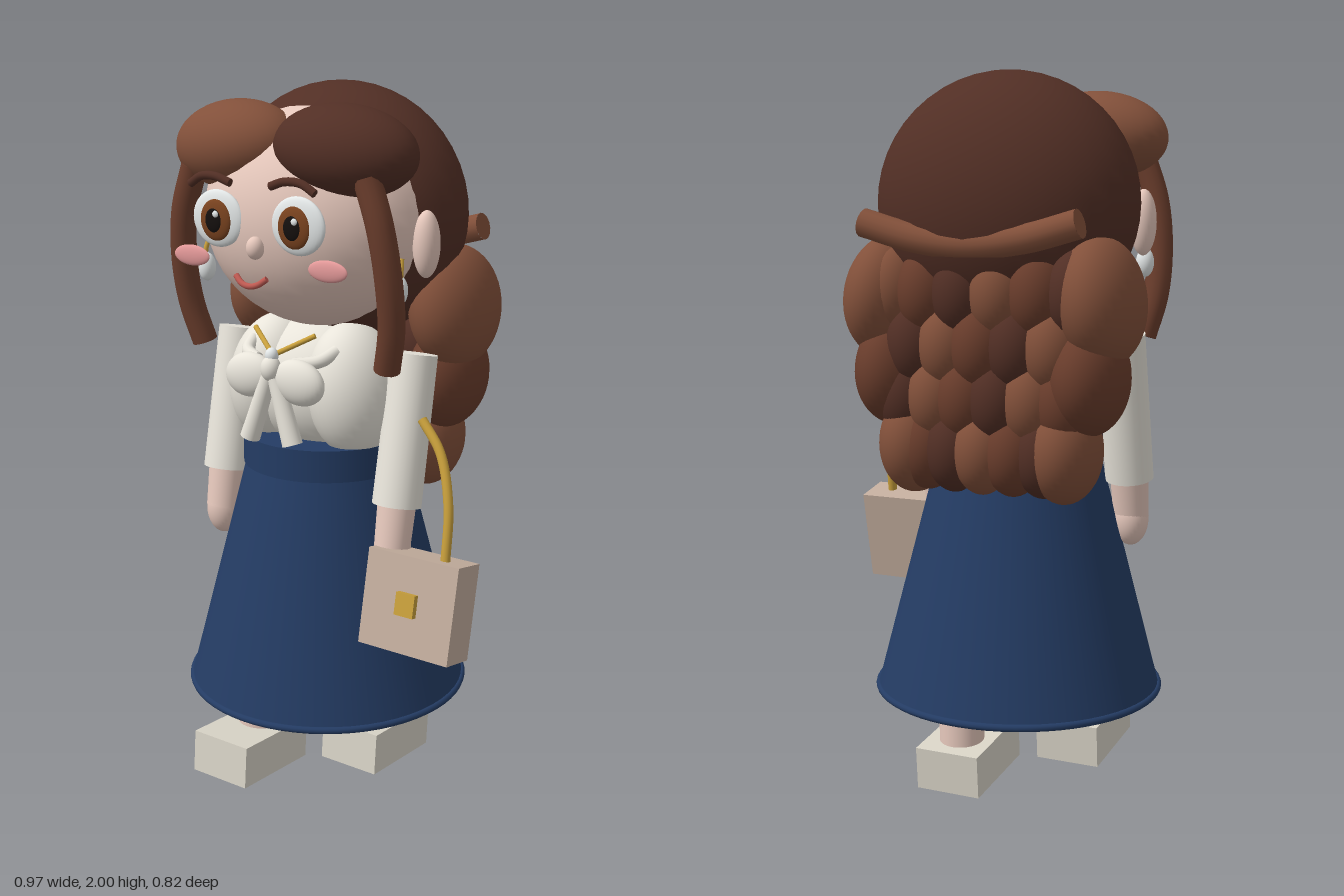
import * as THREE from 'three';

const mat = (c) => new THREE.MeshStandardMaterial({ color: c });
const M = {
  skin: mat(0xe6c8bc), dark: mat(0x522f25), light: mat(0x82503a), mid: mat(0x6a3d2c),
  cream: mat(0xe8e4da), navy: mat(0x243c64), gold: mat(0xc9a03c), bag: mat(0xc4ae9e),
  shoe: mat(0xdad5c8), white: mat(0xe4e8e8), iris: mat(0x7a431f), pupil: mat(0x15100e),
  pink: mat(0xe59a9a), lip: mat(0xbf5a52),
};

export function createModel() {
  const root = new THREE.Group();
  root.name = 'doll';
  // The figure stands a little to its right, so the bag balances the width
  const body = new THREE.Group();
  body.name = 'figure';
  body.position.x = -0.067;
  root.add(body);

  const add = (name, geo, m, pos = [0, 0, 0], rot = [0, 0, 0]) => {
    const mesh = new THREE.Mesh(geo, m);
    mesh.name = name;
    mesh.position.set(...pos);
    mesh.rotation.set(...rot);
    body.add(mesh);
    return mesh;
  };
  const ball = (name, m, pos, r, rot) =>
    add(name, new THREE.SphereGeometry(1, 32, 24).scale(...r), m, pos, rot);
  // Round bar between two points, with its own radius at each end
  const rod = (name, m, a, b, ra, rb = ra) => {
    const p = new THREE.Vector3(...a), q = new THREE.Vector3(...b);
    const d = q.clone().sub(p);
    const mesh = add(name, new THREE.CylinderGeometry(rb, ra, d.length(), 28), m);
    mesh.position.copy(p).add(q).multiplyScalar(0.5);
    mesh.quaternion.setFromUnitVectors(new THREE.Vector3(0, 1, 0), d.normalize());
    return mesh;
  };
  // Bent tube with closed ends
  const tube = (name, m, pts, r) => {
    const curve = new THREE.CatmullRomCurve3(pts.map((p) => new THREE.Vector3(...p)));
    add(name, new THREE.TubeGeometry(curve, 28, r, 14), m);
    for (const t of [0, 1]) {
      const cap = add(name + 'End', new THREE.CircleGeometry(r, 14), m);
      cap.position.copy(curve.getPoint(t));
      const out = curve.getTangent(t).multiplyScalar(t ? 1 : -1);
      cap.quaternion.setFromUnitVectors(new THREE.Vector3(0, 0, 1), out);
    }
  };

  // Head and back hair
  ball('head', M.skin, [0, 1.648, 0.03], [0.33, 0.298, 0.28]);
  ball('backHair', M.dark, [0, 1.65, -0.08], [0.365, 0.35, 0.295]);
  ball('nose', M.skin, [0, 1.595, 0.312], [0.024, 0.03, 0.024]);
  tube('mouth', M.lip, [[-0.05, 1.522, 0.33], [-0.025, 1.505, 0.338], [0, 1.5, 0.34],
    [0.025, 1.505, 0.338], [0.05, 1.522, 0.33]], 0.008);
  rod('neck', M.skin, [0, 1.28, 0], [0, 1.42, 0], 0.09);

  for (const s of [-1, 1]) {
    // Face
    ball('eyeWhite', M.white, [s * 0.13, 1.66, 0.3], [0.083, 0.075, 0.02]);
    ball('iris', M.iris, [s * 0.127, 1.657, 0.314], [0.05, 0.054, 0.014]);
    ball('pupil', M.pupil, [s * 0.127, 1.657, 0.323], [0.027, 0.032, 0.01]);
    ball('eyeHighlight', M.white, [s * 0.127 + 0.013, 1.675, 0.332], [0.009, 0.009, 0.005]);
    tube('eyebrow', M.dark, [[s * 0.2, 1.748, 0.325], [s * 0.16, 1.77, 0.328],
      [s * 0.11, 1.772, 0.33], [s * 0.065, 1.758, 0.328]], 0.011);
    ball('cheek', M.pink, [s * 0.222, 1.555, 0.303], [0.06, 0.028, 0.01]);
    // Ears and earrings
    ball('ear', M.skin, [s * 0.345, 1.6, 0.035], [0.035, 0.088, 0.04]);
    tube('earringHook', M.gold, [[s * 0.32, 1.57, 0.115], [s * 0.325, 1.54, 0.125],
      [s * 0.325, 1.51, 0.128]], 0.007);
    ball('earringPearl', M.white, [s * 0.32, 1.49, 0.128], [0.025, 0.04, 0.025]);
    // Fringe and hanging strands
    ball('fringe', s < 0 ? M.light : M.dark, [s * 0.176, 1.838, 0.158],
      [0.198, 0.118, 0.135], [0.1, s * 0.14, -s * 0.1]);
    tube('sideStrand', M.mid, [[s * 0.28, 1.78, 0.215], [s * 0.32, 1.66, 0.215],
      [s * 0.338, 1.53, 0.203], [s * 0.335, 1.4, 0.182], [s * 0.308, 1.285, 0.16]], 0.036);
    // Large curls at the sides
    ball('sideCurl', M.light, [s * 0.31, 1.4, -0.178], [0.108, 0.17, 0.175], [0, 0, s * 0.12]);
    ball('sideCurl', M.mid, [s * 0.285, 1.2, -0.192], [0.1, 0.15, 0.152]);
    ball('sideCurl', M.light, [s * 0.22, 1.005, -0.197], [0.095, 0.14, 0.133]);
  }

  // Staggered curls down the back
  const browns = [M.dark, M.light, M.mid];
  for (let row = 0; row < 4; row++) {
    const count = row % 2 ? 5 : 6;
    const spread = 0.53 - row * 0.035;
    for (let i = 0; i < count; i++) {
      const u = (i - (count - 1) / 2) / 5;
      ball('backCurl', browns[(i * 2 + row) % 3],
        [u * spread, 1.42 - row * 0.14, -0.25 + Math.abs(u) * 0.04 + row * 0.005],
        [0.082, 0.12, 0.1]);
    }
  }
  tube('hairRoll', M.light, [[-0.305, 1.6, -0.33], [-0.15, 1.56, -0.33], [0, 1.545, -0.33],
    [0.15, 1.56, -0.33], [0.305, 1.6, -0.33]], 0.038);

  // Blouse
  ball('blouse', M.cream, [0, 1.18, 0], [0.235, 0.2, 0.195]);
  for (const s of [-1, 1]) {
    ball('blousePanel', M.cream, [s * 0.133, 1.185, 0.055], [0.125, 0.188, 0.15], [0, 0, s * 0.14]);
    ball('bowLoop', M.cream, [s * 0.082, 1.235, 0.24], [0.08, 0.062, 0.038], [0, 0, -s * 0.15]);
    rod('bowTail', M.cream, [s * 0.072, 1.065, 0.258], [s * 0.012, 1.24, 0.25], 0.028, 0.022);
    rod('necklace', M.gold, [s * 0.1, 1.355, 0.19], [0, 1.3, 0.245], 0.007);
    tube('collarEdge', M.cream, [[s * 0.14, 1.31, 0.15], [s * 0.12, 1.29, 0.2],
      [s * 0.06, 1.28, 0.235]], 0.018);
  }
  ball('bowKnot', M.cream, [0, 1.265, 0.255], [0.028, 0.035, 0.028]);
  ball('pendant', M.white, [0, 1.3, 0.25], [0.018, 0.022, 0.018]);

  // Skirt with waistband and hem
  add('skirt', new THREE.CylinderGeometry(0.23, 0.403, 0.665, 56), M.navy, [0, 0.62, 0]);
  add('waistband', new THREE.CylinderGeometry(0.237, 0.237, 0.09, 56), M.navy, [0, 0.997, 0]);
  add('hem', new THREE.TorusGeometry(0.4, 0.01, 10, 64), M.navy, [0, 0.293, 0], [Math.PI / 2, 0, 0]);

  // Arms
  for (const s of [-1, 1]) {
    const x = s * 0.297;
    rod('sleeve', M.cream, [x, 0.893, 0.09], [x, 1.3, 0.01], 0.068, 0.064);
    rod('forearm', M.skin, [x, 0.78, 0.11], [x, 0.93, 0.083], 0.05, 0.054);
    ball('hand', M.skin, [x, 0.775, 0.108], [0.05, 0.078, 0.052]);
  }

  // Legs and shoes, mid-step
  for (const [x, z, y] of [[-0.118, 0.18, 0.1], [0.122, -0.125, 0.08]]) {
    rod('leg', M.skin, [x, 0.1, z], [x, 0.45, z], 0.064);
    add('shoe', new THREE.BoxGeometry(0.19, 0.122, 0.29), M.shoe, [x, y, z + 0.046], [-0.087, 0, 0]);
    rod('heel', M.shoe, [x, y - 0.079, z - 0.05], [x, y - 0.04, z - 0.05], 0.028);
  }

  // Handbag, leaning back
  const bag = new THREE.Group();
  bag.name = 'handbag';
  bag.position.set(0.345, 0.655, 0.157);
  bag.rotation.x = -0.2;
  root.add(bag);
  const pouch = new THREE.Mesh(new THREE.BoxGeometry(0.28, 0.265, 0.11), M.bag);
  pouch.name = 'bagBody';
  const clasp = new THREE.Mesh(new THREE.BoxGeometry(0.058, 0.062, 0.025), M.gold);
  clasp.name = 'bagClasp';
  clasp.position.set(0, 0.004, 0.06);
  bag.add(pouch, clasp);
  tube('bagHandle', M.gold, [[0.362, 1.14, 0.07], [0.43, 1.06, 0.085], [0.475, 0.93, 0.115],
    [0.484, 0.78, 0.14]], 0.013);
  return root;
}
